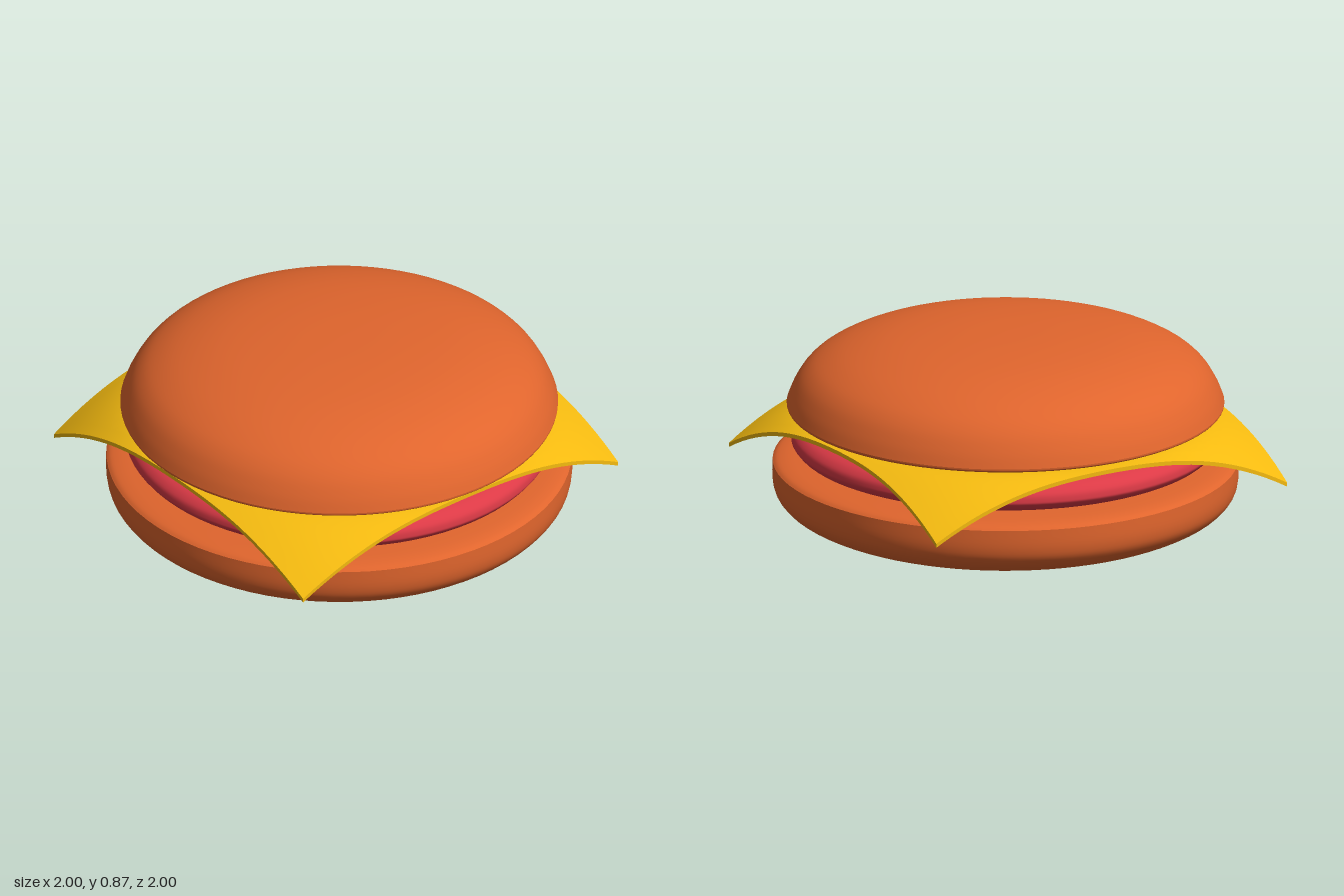
import * as THREE from 'three';

const BUN = 0xe0652d, PATTY = 0xdc3a46, CHEESE = 0xf5bb10;

// Lathe made of smooth runs; edges between runs stay sharp.
function turned(name, color, runs) {
  const group = new THREE.Group();
  group.name = name;
  const material = new THREE.MeshStandardMaterial({ color });
  for (const run of runs) {
    const curve = new THREE.SplineCurve(run.map(([r, y]) => new THREE.Vector2(r, y)));
    const points = curve.getPoints(run.length * 4);
    points.forEach((p) => { p.x = Math.max(p.x, 0); });
    const mesh = new THREE.Mesh(new THREE.LatheGeometry(points, 80), material);
    mesh.name = name + 'Surface';
    group.add(mesh);
  }
  return group;
}

// Slightly skewed square sheet, bowed at its edges, with drooping corners.
function cheeseSlice() {
  const geometry = new THREE.BoxGeometry(2, 0.018, 2, 32, 1, 32);
  const pos = geometry.attributes.position;
  const mix = THREE.MathUtils.lerp;
  for (let i = 0; i < pos.count; i++) {
    const u = pos.getX(i), v = pos.getZ(i);
    const s = (u + 1) / 2, t = (v + 1) / 2;
    const bowX = (1 - v * v) * mix(-0.03, 0.04, s);
    const bowZ = (1 - u * u) * mix(0.012, 0.027, t);
    const x = mix(mix(-0.79, 0.835, s), mix(-0.915, 0.84, s), t) + bowX;
    const z = mix(mix(-0.92, 0.835 - 1.7, s), mix(0.835, 0.885, s), t) + bowZ;
    const r = Math.hypot(x, z);
    const droop = 0.2 * Math.pow(Math.max(0, r - 0.85) / 0.37, 1.5);
    pos.setXYZ(i, x, 0.504 + pos.getY(i) - 0.016 * r * r - droop, z);
  }
  geometry.computeVertexNormals();
  const mesh = new THREE.Mesh(geometry, new THREE.MeshStandardMaterial({ color: CHEESE }));
  mesh.name = 'cheeseSlice';
  return mesh;
}

export function createModel() {
  const model = new THREE.Group();
  model.name = 'burger';

  model.add(turned('bottomBun', BUN, [
    [[0, 0], [0.3, 0.003], [0.6, 0.022], [0.8, 0.052], [0.92, 0.098], [0.98, 0.15], [1, 0.21], [1, 0.295]],
    [[1, 0.295], [0.97, 0.311], [0.88, 0.322], [0.6, 0.33], [0, 0.335]],
  ]));

  model.add(turned('patty', PATTY, [
    [[0, 0.33], [0.5, 0.331], [0.8, 0.336], [0.88, 0.35], [0.915, 0.38], [0.92, 0.4],
      [0.91, 0.43], [0.87, 0.458], [0.78, 0.473], [0.5, 0.482], [0, 0.485]],
  ]));

  model.add(cheeseSlice());

  model.add(turned('topBun', BUN, [
    [[0, 0.51], [0.5, 0.512], [0.78, 0.52], [0.9, 0.531], [0.935, 0.54], [0.94, 0.553]],
    [[0.94, 0.553], [0.915, 0.615], [0.87, 0.687], [0.8, 0.746], [0.68, 0.8],
      [0.5, 0.842], [0.25, 0.865], [0, 0.87]],
  ]));

  return model;
}
